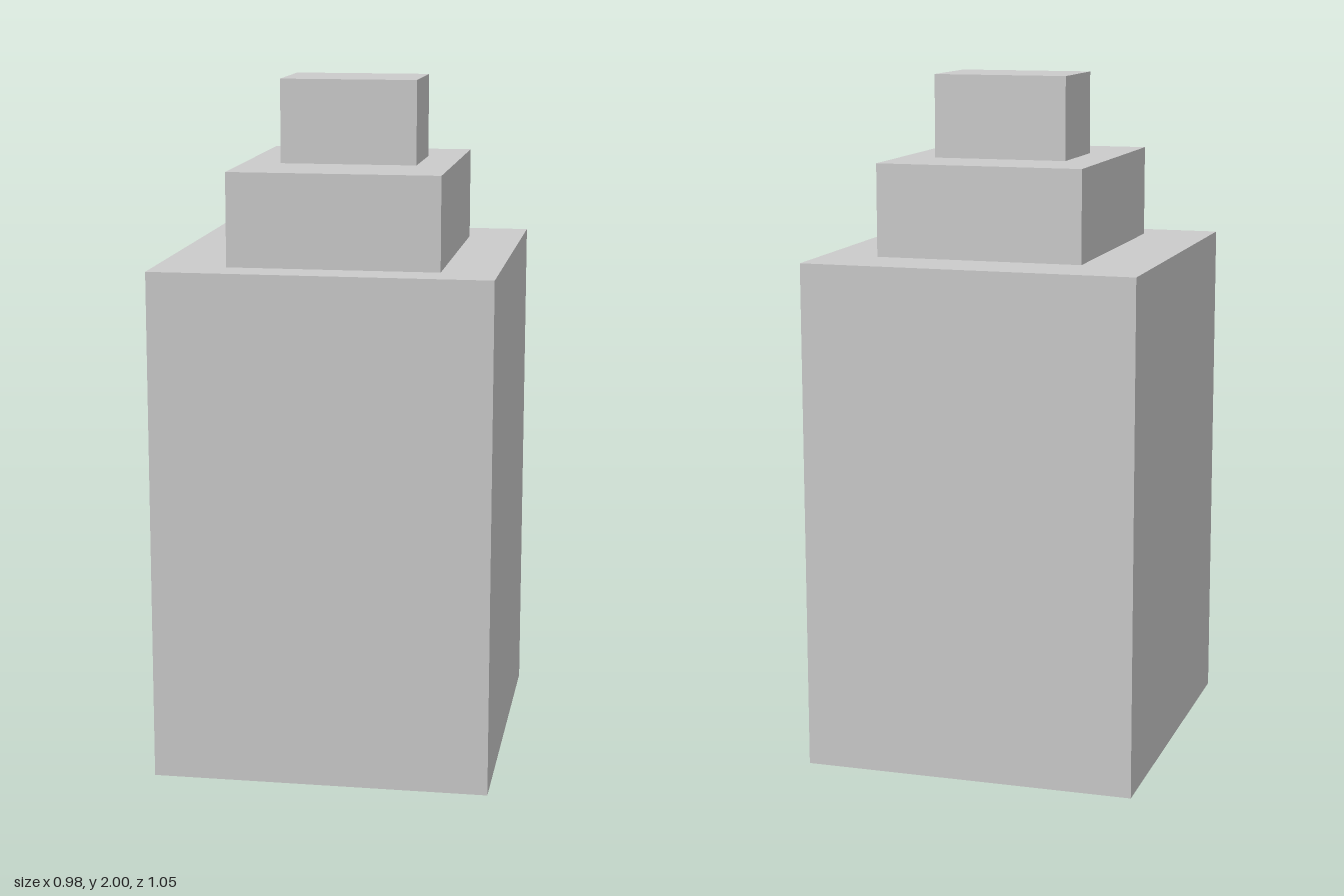
import * as THREE from 'three';

// Stacked blocks: [name, x range, y range, z range]
const TIERS = [
  ['mainBlock', [-0.488, 0.488], [0, 1.488], [-0.527, 0.527]],
  ['middleTier', [-0.283, 0.326], [1.488, 1.757], [-0.336, 0.41]],
  ['topTier', [-0.174, 0.223], [1.757, 2], [-0.116, 0.156]],
];

export function createModel() {
  const model = new THREE.Group();
  model.name = 'steppedTower';
  const material = new THREE.MeshStandardMaterial({ color: 0xcccccc, flatShading: true });

  for (const [name, ...ranges] of TIERS) {
    const size = ranges.map(([a, b]) => b - a);
    const centre = ranges.map(([a, b]) => (a + b) / 2);
    const block = new THREE.Mesh(new THREE.BoxGeometry(...size), material);
    block.position.set(...centre);
    block.name = name;
    model.add(block);
  }
  return model;
}
